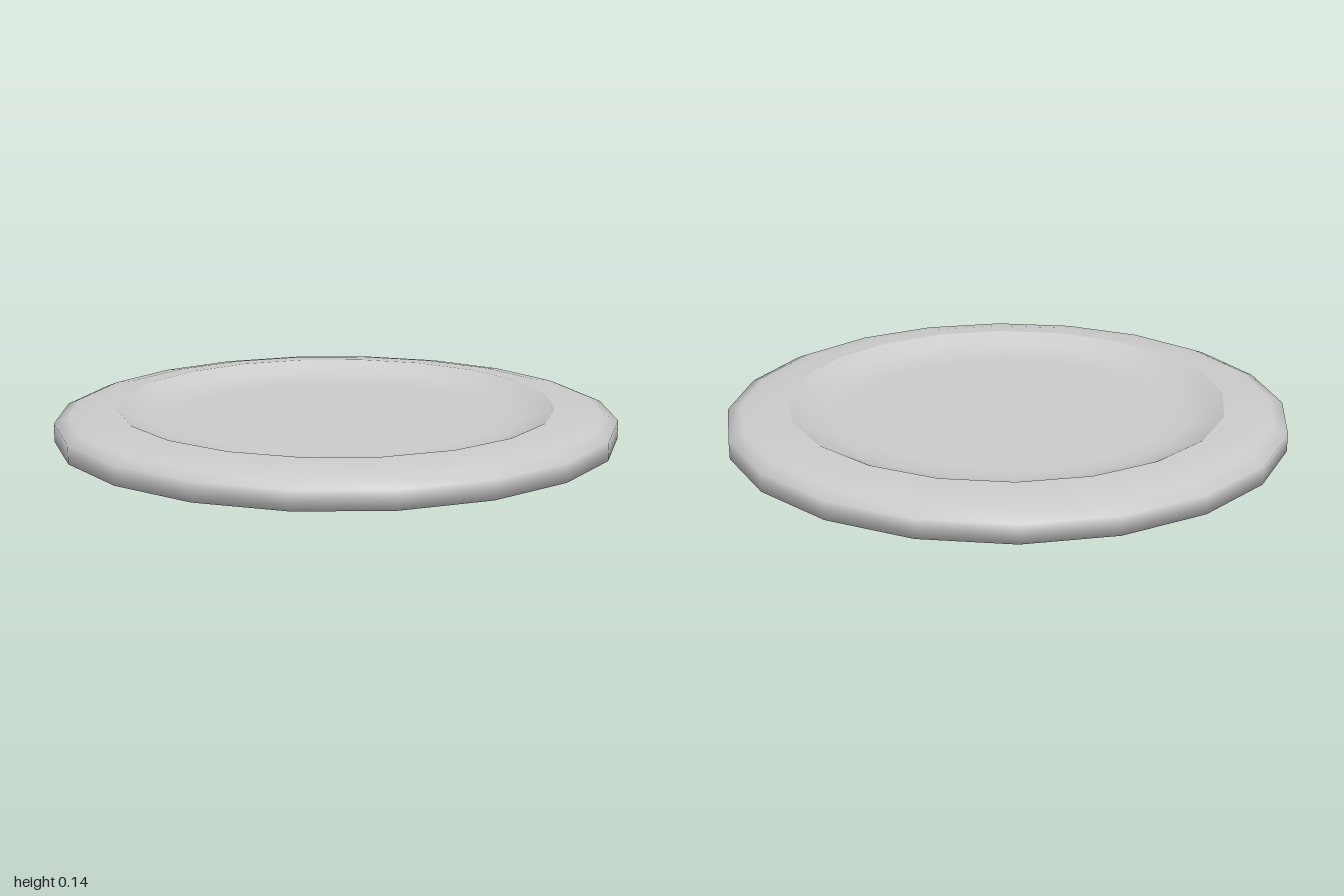
import * as THREE from 'three';

const SIDES = 20;

// Revolves [radius, height] pairs, listed from the underside outward and up
function revolve(name, profile, material) {
  const points = profile.map(([r, y]) => new THREE.Vector2(r, y));
  const mesh = new THREE.Mesh(new THREE.LatheGeometry(points, SIDES), material);
  mesh.name = name;
  return mesh;
}

export function createModel() {
  const group = new THREE.Group();
  group.name = 'plate';
  const material = new THREE.MeshStandardMaterial({ color: 0xcccccc });

  // Flat underside curving gently up to the edge
  const base = [[0, 0], [0.72, 0], [0.92, 0.013], [1, 0.03]];
  // Upright edge and the broad rim rising towards the well
  const rim = [[1, 0.095], [0.95, 0.116], [0.87, 0.13], [0.78, 0.135]];
  group.add(revolve('plateBody', [...base, ...rim], material));

  // Shallow well, separate so the rim's inner edge stays sharp
  group.add(revolve('well', [[0.78, 0.135], [0.72, 0.104], [0.65, 0.086], [0.57, 0.08], [0, 0.08]], material));

  return group;
}
